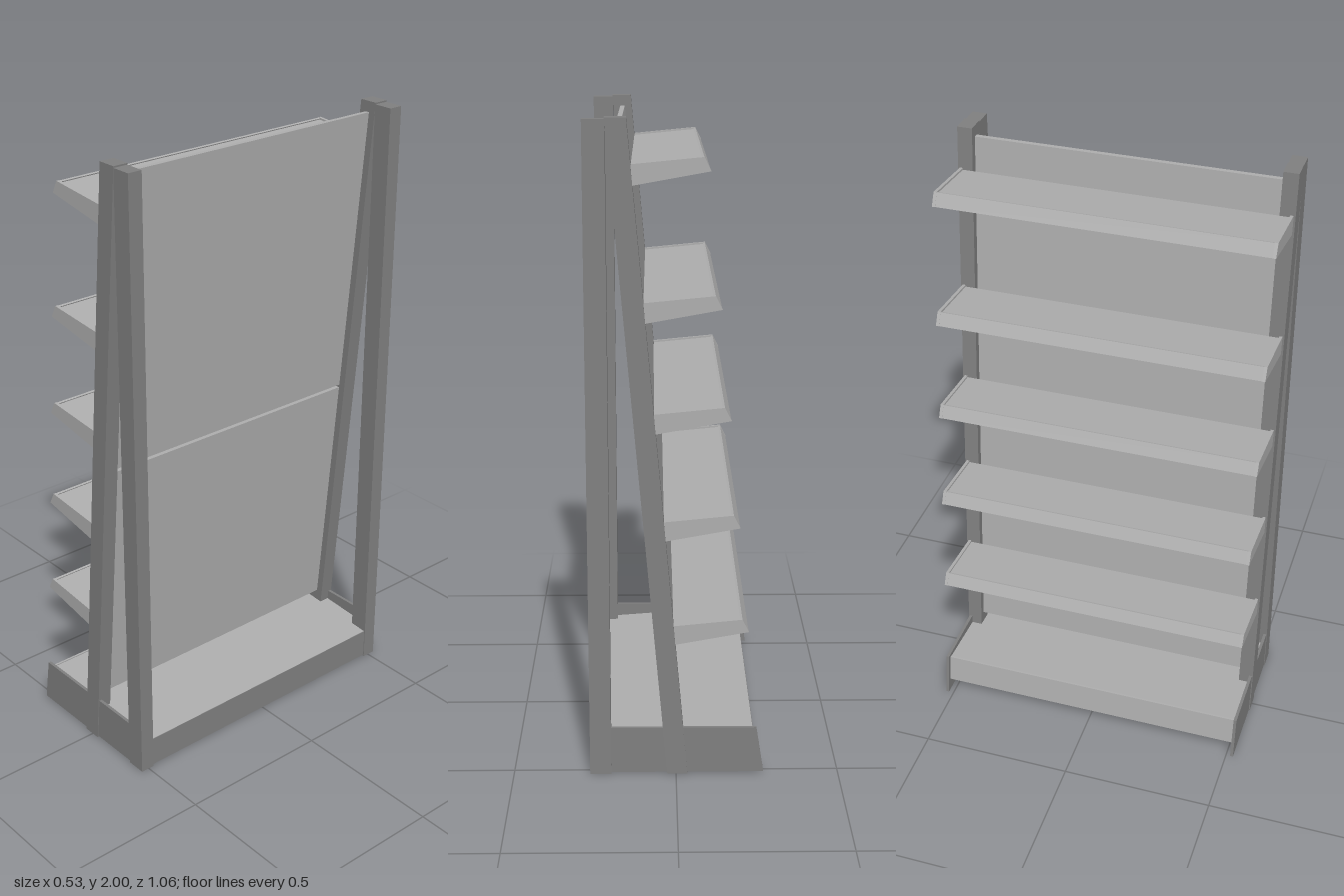
import * as THREE from 'three';

const light = new THREE.MeshStandardMaterial({ color: 0xaeaeae });
light.name = 'lightGrey';
const dark = new THREE.MeshStandardMaterial({ color: 0x808080 });
dark.name = 'darkGrey';

// Lean of the front uprights: x gained per unit of height
const LEAN = 0.0875;
const frontX = (y) => -0.035 + LEAN * y;

// Solid with an x/y outline, running along z from z0 to z1
function prism(name, points, z0, z1, material) {
  const shape = new THREE.Shape(points.map(([x, y]) => new THREE.Vector2(x, y)));
  const geometry = new THREE.ExtrudeGeometry(shape, { depth: z1 - z0, bevelEnabled: false });
  geometry.translate(0, 0, z0);
  const mesh = new THREE.Mesh(geometry, material);
  mesh.name = name;
  return mesh;
}

// The same solid on both ends of the unit
function pair(group, name, points, z0, z1, material) {
  group.add(prism(name + 'Left', points, z0, z1, material));
  group.add(prism(name + 'Right', points, -z1, -z0, material));
}

// Outline of a leaning slab between two heights, set back from the upright's face
const leaning = (y0, y1, near, far) => [
  [frontX(y0) + near, y0], [frontX(y0) + far, y0],
  [frontX(y1) + far, y1], [frontX(y1) + near, y1],
];

// Tilted shelf with end brackets, tray and front lip; y is the rear lower corner
function makeShelf(y) {
  const shelf = new THREE.Group();
  shelf.name = 'shelf';
  const x = frontX(y);
  const at = (list) => list.map(([px, py]) => [x + px, y + py]);
  pair(shelf, 'shelfBracket', at([[-0.223, 0.04], [0, 0], [0.005, 0.06], [-0.203, 0.08]]), 0.512, 0.522, light);
  shelf.add(prism('shelfTray', at([[-0.2, 0.067], [0.004, 0.047], [0.005, 0.054], [-0.203, 0.074]]), -0.512, 0.512, light));
  shelf.add(prism('shelfLip', at([[-0.222, 0.04], [-0.215, 0.039], [-0.196, 0.077], [-0.203, 0.079]]), -0.512, 0.512, light));
  return shelf;
}

export function createModel() {
  const model = new THREE.Group();
  model.name = 'displayRack';

  // Uprights
  pair(model, 'rearPost', [[0.2, 0], [0.265, 0], [0.265, 1.995], [0.2, 1.995]], 0.48, 0.527, dark);
  pair(model, 'leaningPost', leaning(0, 2, 0, 0.062), 0.48, 0.528, dark);

  // Back panels with a narrow gap between
  model.add(prism('lowerBackPanel', leaning(0.16, 1.0, 0.023, 0.038), -0.482, 0.482, light));
  model.add(prism('upperBackPanel', leaning(1.01, 1.965, 0.023, 0.038), -0.482, 0.482, light));

  // Base
  const base = new THREE.Group();
  base.name = 'base';
  pair(base, 'baseSide', [[-0.27, 0.005], [0.21, 0.005], [0.21, 0.153], [-0.247, 0.153]], 0.515, 0.525, dark);
  base.add(prism('baseDeck', [[-0.235, 0.132], [0.26, 0.096], [0.26, 0.104], [-0.235, 0.14]], -0.515, 0.515, light));
  base.add(prism('baseLip', [[-0.25, 0.05], [-0.243, 0.05], [-0.229, 0.143], [-0.236, 0.143]], -0.515, 0.515, light));
  base.add(prism('baseRearBoard', [[0.252, 0.005], [0.262, 0.005], [0.262, 0.104], [0.252, 0.104]], -0.482, 0.482, dark));
  model.add(base);

  // Shelves
  for (const y of [0.425, 0.755, 1.085, 1.415, 1.81]) model.add(makeShelf(y));

  return model;
}
